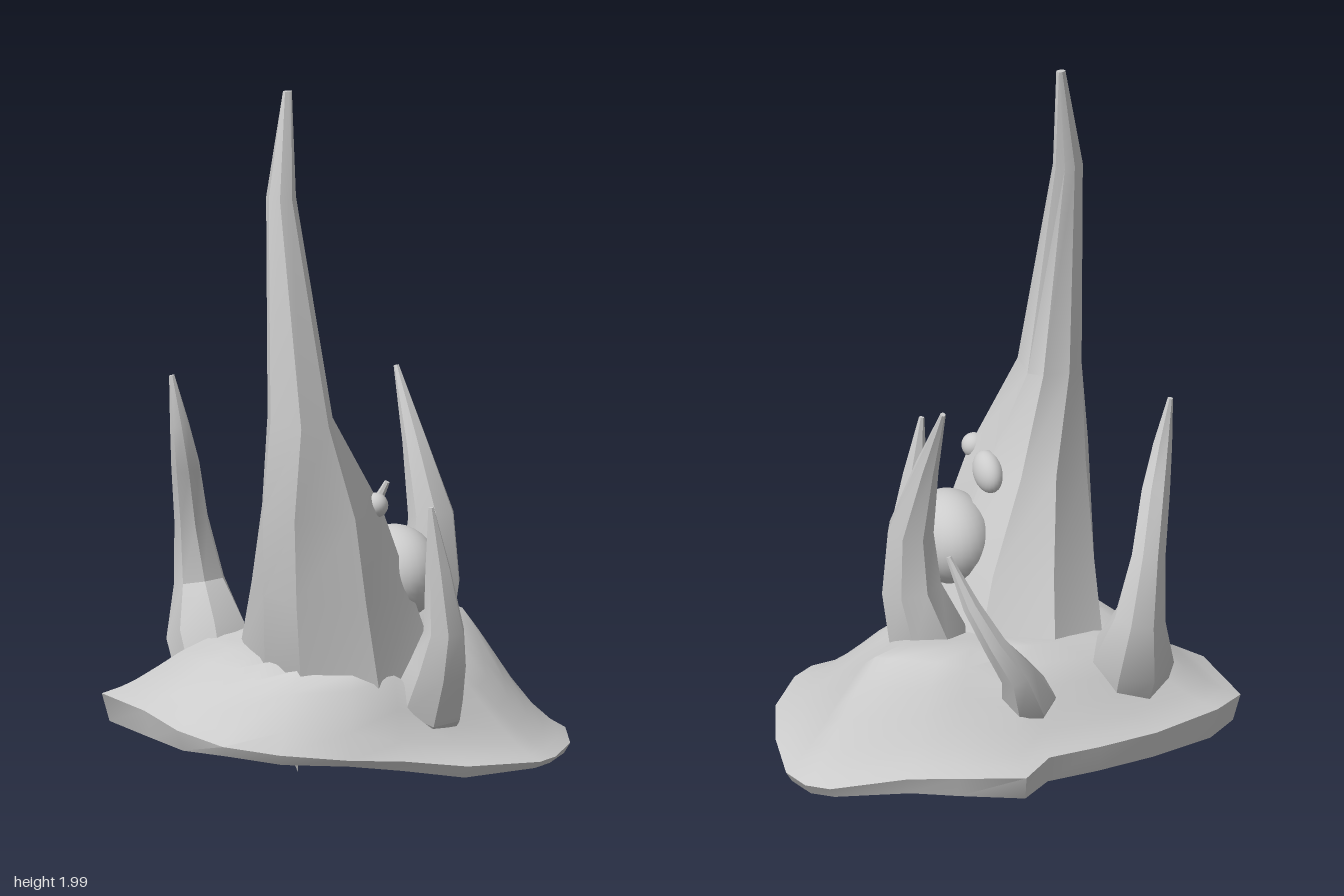
import * as THREE from 'three';
import { toCreasedNormals } from 'three/addons/utils/BufferGeometryUtils.js';

const V = (x, y, z) => new THREE.Vector3(x, y, z);

// Skin a stack of equal-sized rings; the ends can be closed with a fan
function loft(rings, capBottom, capTop, crease) {
  const n = rings[0].length;
  const pts = rings.flat();
  const index = [];
  for (let r = 0; r < rings.length - 1; r++) {
    for (let i = 0; i < n; i++) {
      const j = (i + 1) % n, a = r * n, b = a + n;
      index.push(a + i, b + i, a + j, a + j, b + i, b + j);
    }
  }
  const cap = (start, up) => {
    const c = V(0, 0, 0);
    for (let i = 0; i < n; i++) c.addScaledVector(pts[start + i], 1 / n);
    const k = pts.push(c) - 1;
    for (let i = 0; i < n; i++) {
      const a = start + i, b = start + (i + 1) % n;
      index.push(k, up ? b : a, up ? a : b);
    }
  };
  if (capBottom) cap(0, false);
  if (capTop) cap((rings.length - 1) * n, true);
  const geo = new THREE.BufferGeometry().setFromPoints(pts);
  geo.setIndex(index);
  return toCreasedNormals(geo, crease);
}

// Tapered horn: stations are [x, y, z, radius] from root to tip
function hornGeometry(stations, sides = 7) {
  const c = stations.map(s => V(s[0], s[1], s[2]));
  const rings = stations.map((s, k) => {
    const dir = c[Math.min(k + 1, c.length - 1)].clone().sub(c[Math.max(k - 1, 0)]).normalize();
    const q = new THREE.Quaternion().setFromUnitVectors(V(0, 1, 0), dir);
    return Array.from({ length: sides }, (_, i) => {
      const a = (i / sides) * Math.PI * 2;
      return V(Math.cos(a) * s[3], 0, Math.sin(a) * s[3]).applyQuaternion(q).add(c[k]);
    });
  });
  return loft(rings, true, true, 0.4);
}

export function createModel() {
  const group = new THREE.Group();
  const grey = new THREE.MeshStandardMaterial({ color: 0xcccccc });
  const greyDouble = new THREE.MeshStandardMaterial({ color: 0xcccccc, side: THREE.DoubleSide });
  const add = (name, geo, mat = grey) => {
    const m = new THREE.Mesh(geo, mat);
    m.name = name;
    group.add(m);
    return m;
  };

  // Hollow mound: irregular rim as [x, z, rim top, rim bottom, steepness above it]
  const rim = [
    [-0.65, -0.35, 0.2, 0.12, 1], [-0.55, -0.43, 0.2, 0.11, 0.95], [-0.345, -0.485, 0.18, 0.1, 0.9],
    [-0.157, -0.527, 0.18, 0.1, 0.9], [0, -0.527, 0.17, 0.09, 0.85], [0.09, -0.58, 0.14, 0.07, 0.7],
    [0.275, -0.516, 0.14, 0.08, 0.9], [0.4, -0.446, 0.13, 0.08, 0.95], [0.593, -0.324, 0.08, 0.05, 1],
    [0.64, -0.25, 0.07, 0.04, 1], [0.65, -0.12, 0.06, 0.03, 0.88], [0.607, 0.08, 0.08, 0.03, 0.72],
    [0.52, 0.31, 0.08, 0.05, 0.7], [0.394, 0.49, 0.08, 0.06, 0.72], [0.32, 0.548, 0.08, 0.06, 0.76],
    [0.08, 0.58, 0.09, 0.055, 0.95], [-0.1, 0.534, 0.11, 0.08, 2], [-0.26, 0.51, 0.12, 0.1, 2.7],
    [-0.43, 0.405, 0.13, 0.1, 2.4], [-0.545, 0.265, 0.14, 0.11, 1.6], [-0.625, 0.125, 0.17, 0.11, 1.2],
    [-0.65, -0.05, 0.2, 0.12, 1.1],
  ];
  const cx = 0.03, cz = -0.05;
  const crown = (x, z) => 0.37 + 0.04 * x - (z < 0 ? 0.16 : 0.08) * z - 0.2 * x * z;
  const moundRings = [rim.map(([x, z, , low]) => V(x * 0.97, low, z * 0.97))];
  for (const s of [1, 0.94, 0.87, 0.79, 0.7, 0.6, 0.45, 0.2]) {
    moundRings.push(rim.map(([px, pz, top, , steep]) => {
      const x = cx + (px - cx) * s, z = cz + (pz - cz) * s;
      const t = Math.min(1, (1 - s) * steep / 0.45);
      const f = 0.5 * t + 0.5 * t * t * (3 - 2 * t);
      return V(x, top + (crown(x, z) - top) * f, z);
    }));
  }
  add('mound', loft(moundRings, false, true, 0.9), greyDouble);

  // Tall main horn: [y, then x, z of eight corners], flaring toward the base
  const sections = [
    [0.3, -0.3, -0.18, -0.12, -0.26, 0.08, -0.14, 0.14, 0.1, 0.11, 0.335, -0.13, 0.43, -0.325, 0.32, -0.35, 0.12],
    [0.55, -0.32, -0.04, -0.16, -0.14, 0, -0.07, 0.06, 0.11, 0.03, 0.3, -0.17, 0.43, -0.355, 0.355, -0.38, 0.18],
    [0.8, -0.34, 0.08, -0.22, 0.0, -0.12, 0.02, -0.05, 0.12, -0.055, 0.28, -0.2, 0.42, -0.37, 0.375, -0.4, 0.22],
    [1.07, -0.35, 0.14, -0.3, 0.105, -0.22, 0.105, -0.185, 0.14, -0.2, 0.26, -0.27, 0.39, -0.36, 0.4, -0.385, 0.24],
    [1.7, -0.35, 0.13, -0.32, 0.115, -0.29, 0.115, -0.265, 0.125, -0.27, 0.16, -0.3, 0.2, -0.34, 0.205, -0.355, 0.16],
    [2.0, -0.29, 0.115, -0.28, 0.11, -0.27, 0.112, -0.265, 0.12, -0.27, 0.128, -0.28, 0.13, -0.29, 0.128, -0.293, 0.12],
  ];
  const hornRings = sections.map(([y, ...p]) =>
    Array.from({ length: 8 }, (_, i) => V(p[2 * i], y, p[2 * i + 1])));
  // Root hidden inside the mound, with two corners drawn down below it
  const root = hornRings[0].map(v => V(-0.13 + (v.x + 0.13) * 0.9, 0.29, 0.12 + (v.z - 0.12) * 0.9));
  root[4].y = 0.19;
  root[7].set(-0.22, 0.01, 0.06);
  add('mainHorn', loft([root, ...hornRings], false, true, 0.45), greyDouble);

  // Smaller curved horns around it
  const horns = {
    leftHorn: [[0.15, 0.25, -0.02, 0.09], [0.18, 0.38, -0.01, 0.115], [0.225, 0.53, 0, 0.088],
      [0.232, 0.71, -0.015, 0.068], [0.205, 0.92, -0.075, 0.036], [0.19, 1.12, -0.17, 0.008]],
    frontHorn: [[0.04, 0.18, 0.33, 0.1], [0.04, 0.25, 0.4, 0.105], [0.045, 0.36, 0.455, 0.085],
      [0.05, 0.47, 0.485, 0.06], [0.03, 0.65, 0.485, 0.037], [0.01, 0.83, 0.48, 0.008]],
    backRightHorn: [[-0.33, 0.24, -0.27, 0.11], [-0.33, 0.36, -0.325, 0.12], [-0.33, 0.5, -0.38, 0.075],
      [-0.36, 0.68, -0.37, 0.05], [-0.405, 0.85, -0.31, 0.042], [-0.44, 0.98, -0.275, 0.028],
      [-0.46, 1.12, -0.285, 0.008]],
    backLeftHorn: [[0, 0.22, -0.32, 0.08], [0.01, 0.3, -0.38, 0.08], [0.06, 0.4, -0.425, 0.052],
      [0.13, 0.5, -0.425, 0.035], [0.185, 0.61, -0.385, 0.026], [0.235, 0.75, -0.335, 0.008]],
  };
  for (const [name, stations] of Object.entries(horns)) add(name, hornGeometry(stations));

  // Rounded bulbs on the side of the main horn: centre, radii, tilt
  const ball = new THREE.SphereGeometry(1, 28, 20);
  const bulbs = [
    ['largeBulb', 0.04, 0.59, 0.165, 0.12, 0.135, 0.163, 0],
    ['middleBulb', -0.06, 0.79, 0.125, 0.042, 0.056, 0.07, -0.4],
    ['smallBulb', -0.075, 0.81, 0.28, 0.036, 0.036, 0.04, 0],
  ];
  for (const [name, x, y, z, rx, ry, rz, tilt] of bulbs) {
    const bulb = add(name, ball);
    bulb.position.set(x, y, z);
    bulb.scale.set(rx, ry, rz);
    bulb.rotation.x = tilt;
  }
  return group;
}
